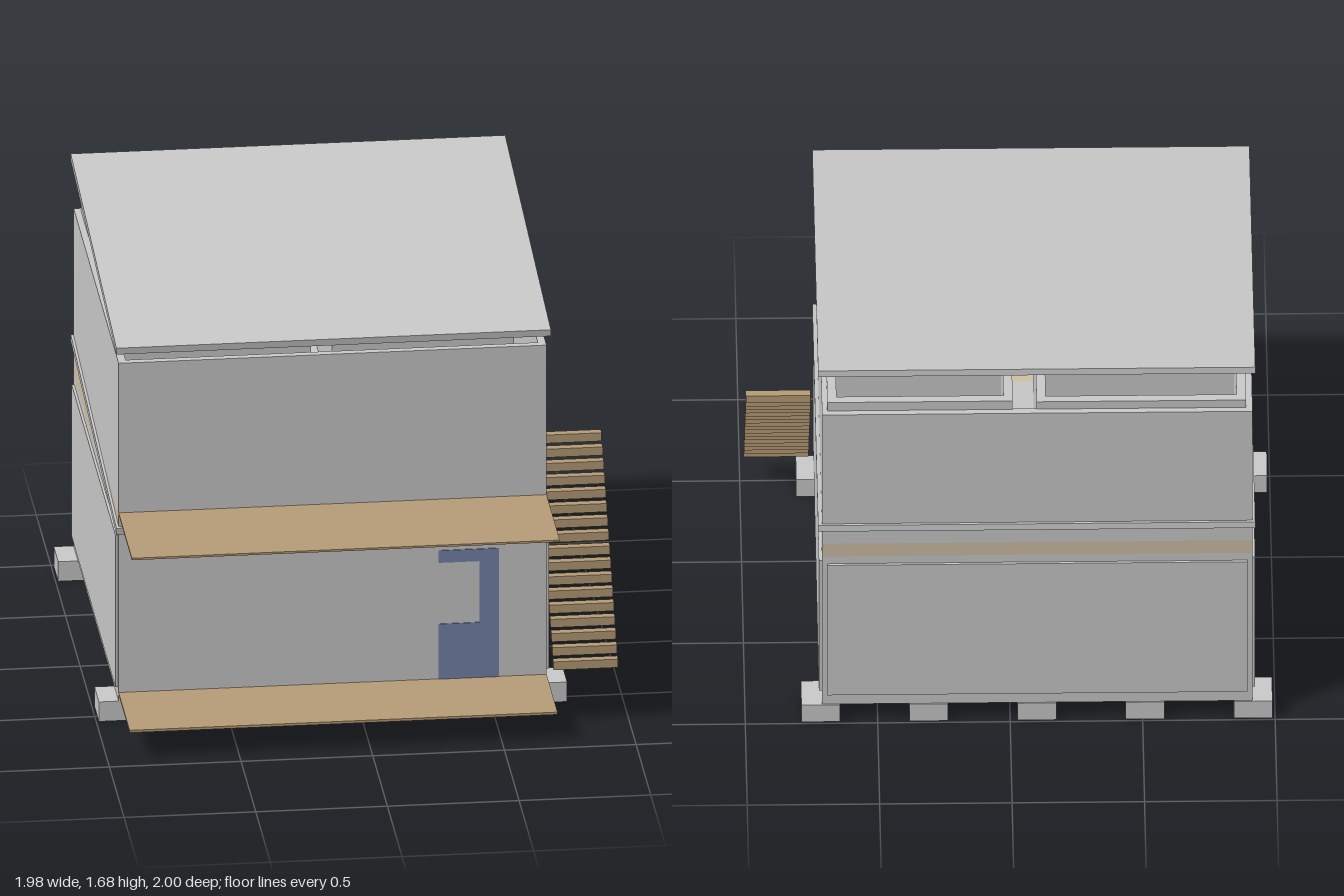
import * as THREE from 'three';

const material = (color) => new THREE.MeshStandardMaterial({ color });

export function createModel() {
  const model = new THREE.Group();
  const grey = material(0xcccccc);
  const wood = material(0xb89d78);
  const paleWood = material(0xd0c2a8);
  const blue = material(0x7785ad);

  // Box given by its min and max on each axis
  const box = (name, [x0, x1], [y0, y1], [z0, z1], mat = grey, parent = model) => {
    const mesh = new THREE.Mesh(new THREE.BoxGeometry(x1 - x0, y1 - y0, z1 - z0), mat);
    mesh.name = name;
    mesh.position.set((x0 + x1) / 2, (y0 + y1) / 2, (z0 + z1) / 2);
    parent.add(mesh);
    return mesh;
  };

  // Upright rectangular tube, open above and below
  const shell = (name, [x0, x1], [y0, y1], [z0, z1], t) => {
    const ring = (a, b, c, d, Type) => {
      const p = new Type();
      p.moveTo(a, -d);
      p.lineTo(b, -d);
      p.lineTo(b, -c);
      p.lineTo(a, -c);
      p.closePath();
      return p;
    };
    const shape = ring(x0, x1, z0, z1, THREE.Shape);
    shape.holes.push(ring(x0 + t, x1 - t, z0 + t, z1 - t, THREE.Path));
    const geo = new THREE.ExtrudeGeometry(shape, { depth: y1 - y0, bevelEnabled: false });
    geo.rotateX(-Math.PI / 2);
    const mesh = new THREE.Mesh(geo, grey);
    mesh.name = name;
    mesh.position.y = y0;
    model.add(mesh);
  };

  // House walls in two storeys, with the storey floor between them
  const X = [-0.915, 0.71];
  const Z = [-0.985, 0.55];
  shell('lowerWalls', X, [0.08, 0.785], Z, 0.03);
  shell('upperWalls', X, [0.845, 1.46], Z, 0.03);
  box('upperFloor', X, [0.785, 0.845], Z, paleWood);

  // Inner rooms that rise just above the upper walls
  shell('leftRoom', [-0.01, 0.69], [0.845, 1.5], [-0.96, -0.31], 0.035);
  shell('rightRoom', [-0.89, -0.1], [0.845, 1.495], [-0.96, -0.21], 0.035);

  // Thin cladding on the sides and the back of the lower storey
  box('leftCladding', [0.71, 0.722], [0.13, 0.75], [-0.965, 0.53]);
  box('rightCladding', [-0.925, -0.915], [0.13, 0.75], [-0.965, 0.53]);
  box('backCladding', [-0.895, 0.69], [0.13, 0.75], [-0.995, -0.985]);

  // Sloping roofs, higher at the back
  for (const [name, yFront, yBack] of [['lowerRoof', 0.778, 0.928], ['upperRoof', 1.514, 1.666]]) {
    const dz = 1.56;
    const dy = yBack - yFront;
    const roof = new THREE.Mesh(new THREE.BoxGeometry(1.65, 0.027, Math.hypot(dz, dy)), grey);
    roof.name = name;
    roof.position.set(-0.1, (yFront + yBack) / 2, -0.218);
    roof.rotation.x = Math.atan2(dy, dz);
    model.add(roof);
  }

  // Front decks
  box('lowerDeck', X, [0.105, 0.115], [0.55, 0.925], wood);
  box('upperDeck', X, [0.841, 0.849], [0.55, 1.0], wood);

  // Door panel with a side notch
  const door = new THREE.Shape([
    [0.3, 0.115], [0.53, 0.115], [0.53, 0.64], [0.3, 0.64],
    [0.3, 0.59], [0.455, 0.59], [0.455, 0.34], [0.3, 0.34],
  ].map(([x, y]) => new THREE.Vector2(x, y)));
  const doorMesh = new THREE.Mesh(
    new THREE.ExtrudeGeometry(door, { depth: 0.004, bevelEnabled: false }), blue);
  doorMesh.name = 'door';
  doorMesh.position.z = 0.549;
  model.add(doorMesh);

  // Foundation piers in two rows
  const piers = new THREE.Group();
  piers.name = 'piers';
  model.add(piers);
  for (let i = 0; i < 5; i++) {
    const x = -0.917 + i * 0.408;
    for (const z of [0.475, -0.915]) {
      box('pier', [x - 0.073, x + 0.073], [0, 0.08], [z - 0.075, z + 0.075], grey, piers);
    }
  }

  // Joists under the house
  for (const x of [-0.38, 0.17]) box('joist', [x - 0.02, x + 0.02], [0.08, 0.11], [-0.96, 0.525]);

  // Outside stair of separate treads
  const stair = new THREE.Group();
  stair.name = 'stair';
  model.add(stair);
  const treads = 17;
  for (let i = 0; i < treads; i++) {
    const f = i / (treads - 1);
    const y = 0.137 + f * 0.693;
    const z = 0.508 - f * 0.563;
    box('tread', [0.74, 0.985], [y - 0.017, y + 0.017], [z - 0.017, z + 0.017], wood, stair);
  }

  return model;
}
